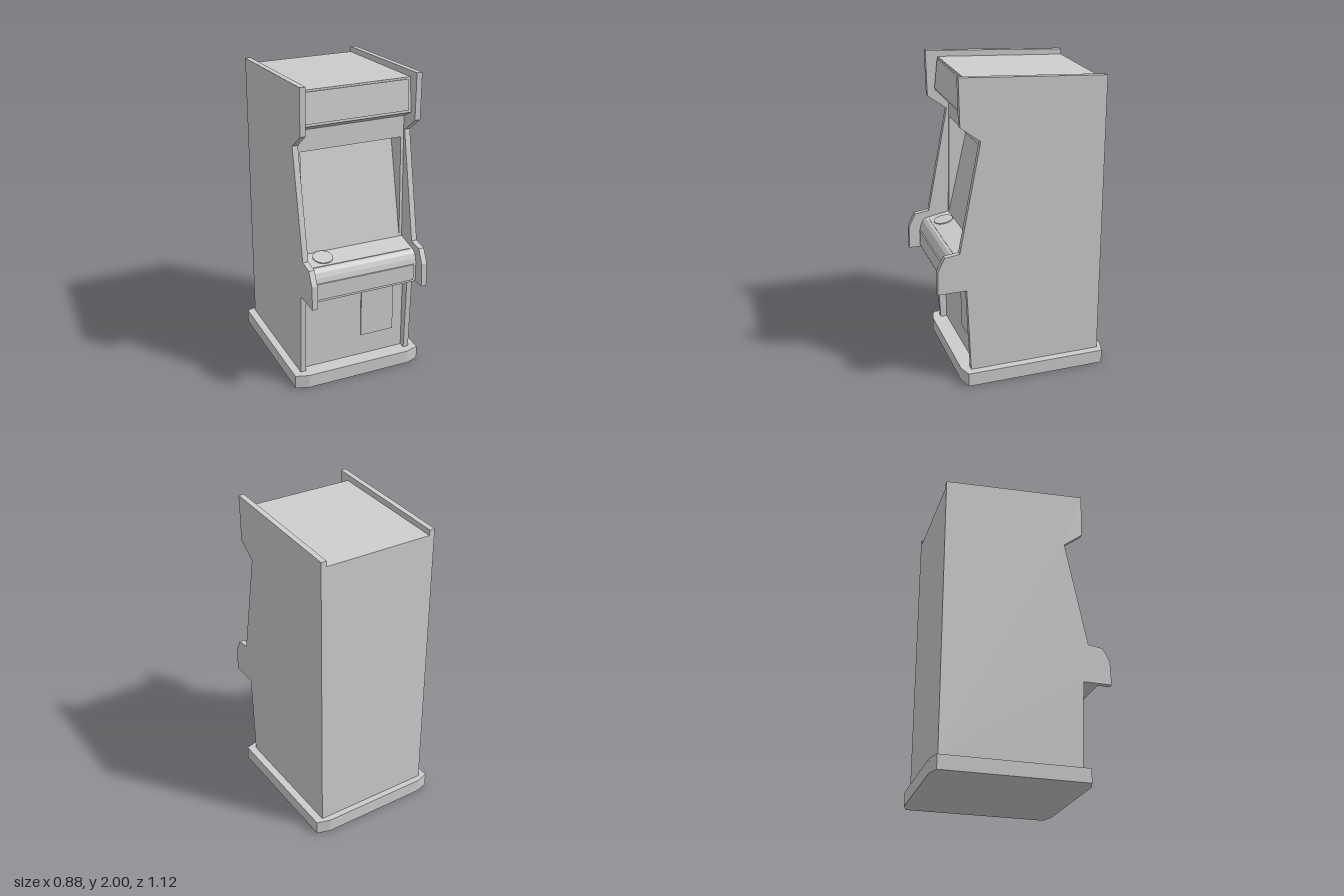
import * as THREE from 'three';

const grey = new THREE.MeshStandardMaterial({ color: 0xcccccc });
grey.name = 'cabinet grey';

// Extrude a (z, y) side profile across the cabinet from x0 to x1
function slab(name, profile, x0, x1) {
  const shape = new THREE.Shape(profile.map(([z, y]) => new THREE.Vector2(z, y)));
  const geo = new THREE.ExtrudeGeometry(shape, { depth: x1 - x0, bevelEnabled: false });
  geo.rotateY(-Math.PI / 2).translate(x1, 0, 0);
  const mesh = new THREE.Mesh(geo, grey);
  mesh.name = name;
  return mesh;
}

// Thin plate raised from the line a-b (front/bottom to back/top) of the profile
function plate(name, a, b, x0, x1, t) {
  const dz = b[0] - a[0], dy = b[1] - a[1], len = Math.hypot(dz, dy);
  const nz = dy / len * t, ny = -dz / len * t;
  return slab(name, [a, [a[0] + nz, a[1] + ny], [b[0] + nz, b[1] + ny], b], x0, x1);
}

export function createModel() {
  const model = new THREE.Group();
  model.name = 'arcadeCabinet';

  const OUTER = 0.39, INNER = 0.354, OPENING = 0.335;

  // Plinth with clipped corners
  const quarter = [[0.355, -0.56], [0.44, -0.535], [0.44, 0.385], [0.39, 0.4], [0.355, 0.412]];
  const outline = [...quarter, ...quarter.map(([x, z]) => [-x, z]).reverse()];
  const baseGeo = new THREE.ExtrudeGeometry(
    new THREE.Shape(outline.map(([x, z]) => new THREE.Vector2(x, z))),
    { depth: 0.09, bevelEnabled: false });
  baseGeo.rotateX(Math.PI / 2).translate(0, 0.09, 0);
  const base = new THREE.Mesh(baseGeo, grey);
  base.name = 'base';
  model.add(base);

  // Side panels
  const side = [
    [-0.52, 0.09], [0.353, 0.09], [0.375, 0.655], [0.56, 0.655], [0.555, 0.81],
    [0.51, 0.897], [0.415, 0.91], [0.275, 1.61], [0.4, 1.705], [0.405, 2], [-0.52, 1.945],
  ];
  model.add(slab('leftSidePanel', side, INNER, OUTER));
  model.add(slab('rightSidePanel', side, -OUTER, -INNER));

  // Body between the panels: the middle has the sunken screen, the edges form the bezel
  const lower = [
    [-0.52, 0.09], [0.31, 0.09], [0.31, 0.655], [0.48, 0.655], [0.48, 0.785],
    [0.473, 0.815], [0.46, 0.843], [0.44, 0.86], [0.28, 0.89],
  ];
  const upper = [[0.26, 1.695], [0.35, 1.742], [0.325, 1.956], [-0.52, 1.91]];
  const recess = [[0.279, 0.897], [0.125, 1.56], [0.263, 1.56]];
  model.add(slab('bodyWithScreen', [...lower, ...recess, ...upper], -OPENING, OPENING));
  for (const [name, x0, x1] of [['leftBezel', OPENING, INNER], ['rightBezel', -INNER, -OPENING]]) {
    model.add(slab(name, [...lower, ...upper], x0, x1));
  }

  // Raised plates
  model.add(plate('marqueePanel', [0.348, 1.757], [0.326, 1.945], -OPENING, OPENING, 0.009));
  model.add(plate('controlPlate', [0.425, 0.8628], [0.285, 0.889], -OPENING, OPENING, 0.004));
  model.add(plate('frontPlate', [0.48, 0.672], [0.48, 0.78], -OPENING, OPENING, 0.008));
  model.add(plate('serviceDoor', [0.31, 0.237], [0.31, 0.566], 0.053, 0.283, 0.009));

  // Round disc lying on the sloping control panel
  const disc = new THREE.Mesh(new THREE.CylinderGeometry(0.063, 0.063, 0.008, 40), grey);
  disc.name = 'controlDisc';
  disc.rotation.x = Math.atan2(0.03, 0.16);
  disc.position.set(-0.23, 0.884, 0.348);
  model.add(disc);

  return model;
}
